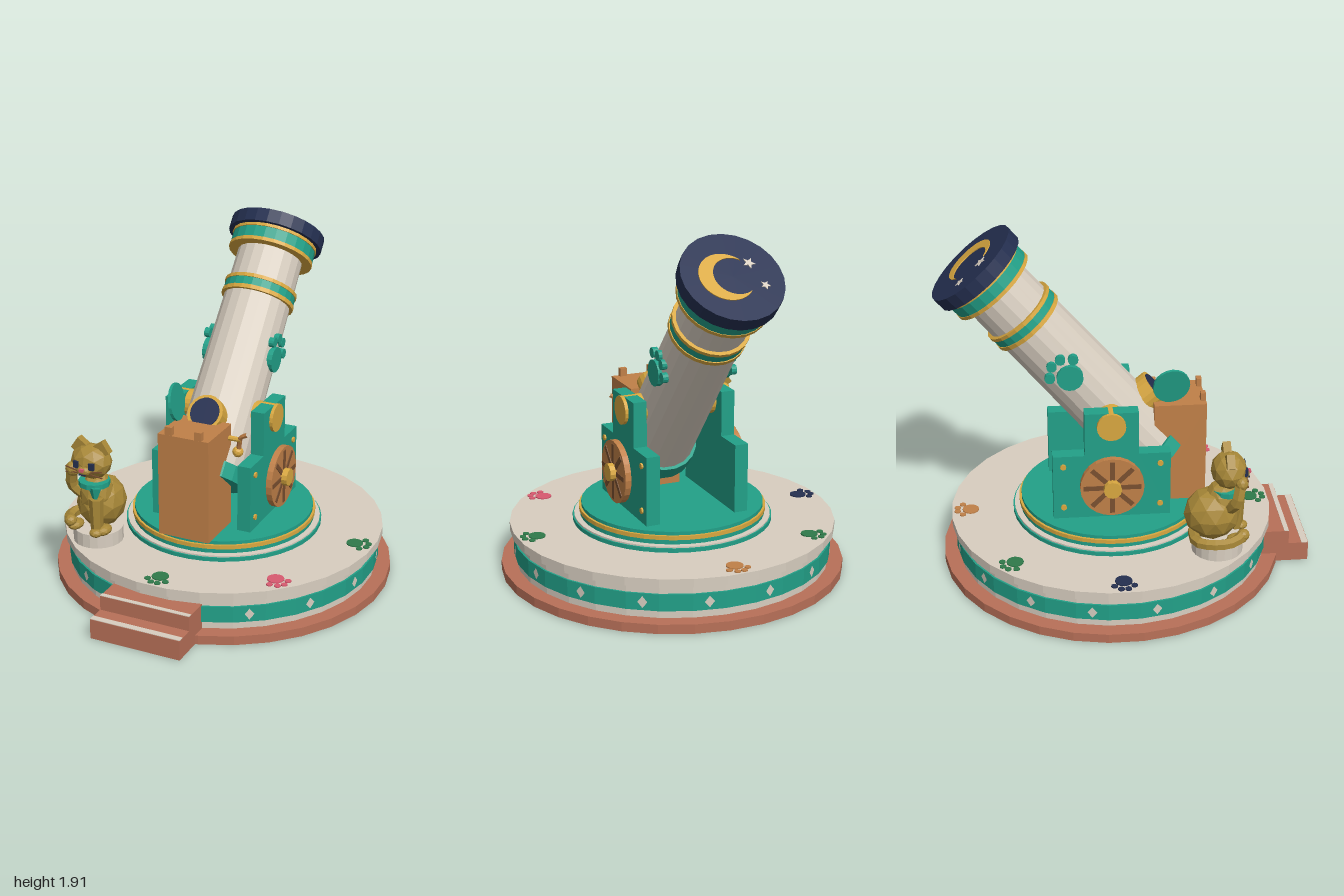
import * as THREE from 'three';

const COLORS = {
  stone: 0xd8cec0, teal: 0x22a088, navy: 0x242f50, gold: 0xd9a840, wood: 0xc08048,
  brick: 0xb87058, catGold: 0xa88838, brown: 0x7a5030, green: 0x2f7a4a, pink: 0xd85a70,
};
const M = {};
for (const [name, color] of Object.entries(COLORS)) {
  M[name] = new THREE.MeshStandardMaterial({ color });
  M[name].name = name;
}

const CZ = -0.07; // centre of the round base
const V = (x, y, z) => new THREE.Vector3(x, y, z);

// Adds a flat-shaded mesh to a parent
function add(parent, name, geo, mat, pos = [0, 0, 0], rot = [0, 0, 0]) {
  const g = geo.index ? geo.toNonIndexed() : geo;
  g.computeVertexNormals();
  const mesh = new THREE.Mesh(g, M[mat]);
  mesh.name = name;
  mesh.position.set(...pos);
  mesh.rotation.set(...rot);
  parent.add(mesh);
  return mesh;
}
function group(parent, name, pos = [0, 0, 0], rot = [0, 0, 0]) {
  const g = new THREE.Group();
  g.name = name;
  g.position.set(...pos);
  g.rotation.set(...rot);
  parent.add(g);
  return g;
}
const box = (w, h, d) => new THREE.BoxGeometry(w, h, d);
const cyl = (r, h, n = 20, r2 = r) => new THREE.CylinderGeometry(r2, r, h, n);
const blob = (x, y, z, detail = 1) => new THREE.IcosahedronGeometry(1, detail).scale(x, y, z);
// Upright disc between two heights
function disc(parent, name, r, y0, y1, mat, z = 0, n = 20, x = 0, r2 = r) {
  return add(parent, name, cyl(r, y1 - y0, n, r2), mat, [x, (y0 + y1) / 2, z], [0, Math.PI / n, 0]);
}
// Cylinder lying along x
function xDisc(parent, name, r, x0, x1, mat, y, z, n = 20) {
  return add(parent, name, cyl(r, Math.abs(x1 - x0), n), mat, [(x0 + x1) / 2, y, z], [0, 0, Math.PI / 2]);
}
const tube = (pts, r, n = 12) => new THREE.TubeGeometry(new THREE.CatmullRomCurve3(pts), n, r, 6, false);

// Paw print in the local xz plane, toes toward +z
function paw(parent, name, mat, s, thick, pos, rot) {
  const g = group(parent, name, pos, rot);
  add(g, 'pad', cyl(0.07 * s, thick, 16), mat);
  for (const [x, z] of [[-0.08, 0.068], [-0.029, 0.112], [0.029, 0.112], [0.08, 0.068]])
    add(g, 'toe', cyl(0.027 * s, thick, 12), mat, [x * s, 0, z * s]);
}

function buildBase(root) {
  const g = group(root, 'base', [0, 0, CZ]);
  const ring = [[0.82, 0], [0.93, 0], [0.93, 0.05], [0.82, 0.05]].map(p => new THREE.Vector2(...p));
  add(g, 'brickRing', new THREE.LatheGeometry(ring, 32), 'brick', [0, 0, 0], [0, Math.PI / 32, 0]);
  disc(g, 'foundation', 0.822, 0, 0.05, 'stone', 0, 32);
  disc(g, 'lowerWall', 0.85, 0.05, 0.09, 'stone', 0, 32);
  disc(g, 'tealBand', 0.86, 0.09, 0.18, 'teal', 0, 32);
  disc(g, 'upperWall', 0.85, 0.18, 0.225, 'stone', 0, 32);
  disc(g, 'deck', 0.88, 0.225, 0.27, 'stone', 0, 32);
  for (let i = 0; i < 16; i++) {
    const a = (i + 0.5) * Math.PI / 8;
    add(g, 'bandDiamond', new THREE.CircleGeometry(0.032, 4).scale(0.8, 1, 1), 'stone',
      [Math.sin(a) * 0.859, 0.135, Math.cos(a) * 0.859], [0, a, 0]);
  }
  // Paw prints around the deck
  [[0, 'green'], [1, 'pink'], [2, 'green'], [4, 'wood'], [5, 'green'], [6, 'navy']].forEach(([k, mat]) => {
    const a = k * Math.PI / 4;
    paw(g, 'deckPawPrint', mat, 0.64, 0.006, [Math.sin(a) * 0.775, 0.273, Math.cos(a) * 0.775], [0, a, 0]);
  });
  // Turntable
  disc(g, 'turntableRim', 0.54, 0.27, 0.292, 'teal', 0, 40);
  disc(g, 'turntableStone', 0.532, 0.292, 0.3, 'stone', 0, 40);
  disc(g, 'turntableStep', 0.5, 0.3, 0.325, 'teal', 0, 40);
  disc(g, 'turntableTrim', 0.506, 0.325, 0.347, 'gold', 0, 40);
  disc(g, 'turntableTop', 0.493, 0.347, 0.366, 'teal', 0, 40);
  // Front steps with stone nosings
  add(root, 'lowerStep', box(0.51, 0.11, 0.13), 'brick', [0, 0.055, 0.935]);
  add(root, 'upperStep', box(0.51, 0.19, 0.16), 'brick', [0, 0.095, 0.81]);
  add(root, 'lowerNosing', box(0.51, 0.004, 0.035), 'stone', [0, 0.111, 0.98]);
  add(root, 'upperNosing', box(0.51, 0.004, 0.025), 'stone', [0, 0.191, 0.876]);
}

function buildMount(root) {
  const outline = [[0.225, 0.36], [0.225, 0.74], [0.055, 0.74], [0.055, 0.985],
    [-0.23, 0.985], [-0.23, 0.74], [-0.4, 0.74], [-0.4, 0.36]];
  const shape = new THREE.Shape(outline.map(p => new THREE.Vector2(...p)));
  for (const s of [1, -1]) {
    const g = group(root, s > 0 ? 'leftMount' : 'rightMount');
    const cheek = new THREE.ExtrudeGeometry(shape, { depth: 0.075, bevelEnabled: false });
    add(g, 'cheek', cheek, 'teal', [s > 0 ? 0.29 : -0.215, 0, 0], [0, -Math.PI / 2, 0]);
    xDisc(g, 'trunnionCap', 0.077, s * 0.18, s * 0.308, 'gold', 0.91, -0.09);
    for (const z of [0.17, -0.345]) for (const y of [0.435, 0.68])
      xDisc(g, 'bolt', 0.016, s * 0.28, s * 0.3, 'gold', y, z, 10);
    // Wheel with spokes and hub
    xDisc(g, 'wheel', 0.17, s * 0.315, s * 0.348, 'wood', 0.575, -0.09, 24);
    for (let i = 0; i < 4; i++)
      add(g, 'spoke', box(0.041, 0.305, 0.026), 'brown', [s * 0.3315, 0.575, -0.09], [i * Math.PI / 4, 0, 0]);
    xDisc(g, 'hub', 0.048, s * 0.28, s * 0.383, 'gold', 0.575, -0.09, 12);
  }
}

function starShape(r) {
  return new THREE.Shape(Array.from({ length: 10 }, (_, i) => {
    const a = i * Math.PI / 5, q = i % 2 ? r * 0.42 : r;
    return new THREE.Vector2(Math.sin(a) * q, Math.cos(a) * q);
  }));
}

function buildBarrel(root) {
  const g = group(root, 'telescopeBarrel', [0, 0.91, -0.09], [-40 * Math.PI / 180, 0, 0]);
  disc(g, 'tube', 0.2, -0.38, 0.95, 'stone', 0, 20, 0, 0.182);
  disc(g, 'breech', 0.217, -0.41, -0.325, 'teal');
  // Bands: [radius, from, to, colour]
  for (const [r, a, b, mat] of [
    [0.204, 0.632, 0.655, 'gold'], [0.199, 0.655, 0.7, 'teal'], [0.204, 0.7, 0.72, 'gold'],
    [0.238, 0.905, 0.925, 'gold'], [0.235, 0.925, 0.988, 'teal'], [0.24, 0.988, 1.005, 'gold'],
    [0.265, 1.005, 1.08, 'navy']]) disc(g, 'barrelBand', r, a, b, mat, 0, 24);
  // Crescent and stars on the cap
  const moon = new THREE.Shape();
  const a0 = Math.atan2(0.0917, -0.1058), b0 = Math.atan2(0.0917, -0.06);
  moon.absarc(0.035, 0, 0.14, a0, -a0, true);
  moon.absarc(-0.01, 0, 0.11, -b0, b0, false);
  const plate = { depth: 0.006, bevelEnabled: false, curveSegments: 20 };
  const flat = [-Math.PI / 2, 0, 0];
  add(g, 'crescent', new THREE.ExtrudeGeometry(moon, plate), 'gold', [0, 1.079, 0], flat);
  add(g, 'star', new THREE.ExtrudeGeometry(starShape(0.027), plate), 'stone', [-0.148, 1.079, -0.07], flat);
  add(g, 'star', new THREE.ExtrudeGeometry(starShape(0.034), plate), 'stone', [-0.11, 1.079, 0.07], flat);
  // Side paw emblems
  for (const s of [1, -1])
    paw(g, 'barrelPaw', 'teal', 1, 0.03, [s * 0.192, 0.32, 0], [-Math.PI / 2, 0, s * -Math.PI / 2]);
  // Eyepiece standing on the upper face of the tube
  add(g, 'eyepiece', cyl(0.1, 0.11, 20), 'gold', [0, -0.11, 0.192], [Math.PI / 2, 0, 0]);
  add(g, 'eyepieceLens', cyl(0.082, 0.006, 20), 'navy', [0, -0.11, 0.249], [Math.PI / 2, 0, 0]);
}

function buildCabinet(root) {
  const g = group(root, 'cabinet');
  add(g, 'woodenBox', box(0.29, 0.575, 0.28), 'wood', [0, 0.6525, 0.293]);
  for (const s of [1, -1]) add(g, 'peg', box(0.04, 0.05, 0.028), 'wood', [s * 0.085, 0.96, 0.418]);
  add(g, 'eyepieceLid', cyl(0.1, 0.016, 20), 'teal', [-0.13, 1.05, 0.243], [0, 0.12, Math.PI / 2 + 0.17]);
  // Crank handle
  add(g, 'crankRod', tube([V(0.255, 0.91, 0.19), V(0.215, 0.885, 0.185), V(0.2, 0.84, 0.17), V(0.19, 0.79, 0.16)], 0.013), 'wood');
  add(g, 'crankKnob', blob(0.03, 0.03, 0.03), 'gold', [0.187, 0.79, 0.16]);
  xDisc(g, 'crankSpindle', 0.014, 0.12, 0.215, 'gold', 0.87, 0.18, 8);
}

function buildCat(root) {
  disc(root, 'catPedestal', 0.135, 0.27, 0.347, 'stone', 0.45, 20, -0.505);
  const g = group(root, 'catStatue', [-0.505, 0.345, 0.45]);
  add(g, 'body', blob(0.13, 0.145, 0.15), 'catGold', [0.01, 0.14, -0.03]);
  add(g, 'chest', blob(0.095, 0.13, 0.1), 'catGold', [0.01, 0.2, 0.02]);
  add(g, 'head', blob(0.115, 0.098, 0.095), 'catGold', [0, 0.4, 0.05]);
  add(g, 'collar', cyl(0.085, 0.028, 12), 'teal', [0.01, 0.278, 0.045]);
  add(g, 'scarfTip', new THREE.ConeGeometry(0.04, 0.1, 4).scale(1, 1, 0.5), 'teal', [0.05, 0.228, 0.115], [Math.PI, 0, 0]);
  // Face
  add(g, 'muzzle', blob(0.04, 0.028, 0.025), 'catGold', [0, 0.375, 0.135]);
  add(g, 'nose', box(0.025, 0.016, 0.02), 'pink', [0, 0.386, 0.155]);
  add(g, 'mouth', box(0.04, 0.008, 0.01), 'navy', [0, 0.36, 0.153]);
  for (const s of [1, -1]) {
    add(g, 'ear', box(0.075, 0.075, 0.042), 'catGold', [s * 0.062, 0.474, 0.045], [0, 0, s * 0.6]);
    add(g, 'eye', box(0.03, 0.038, 0.02), 'navy', [s * 0.045, 0.405, 0.132]);
    for (const k of [0, 1])
      add(g, 'whisker', box(0.07, 0.006, 0.006), 'brown', [s * 0.075, 0.378 - k * 0.022, 0.135], [0, 0, s * (0.2 - k * 0.3)]);
    add(g, 'hindFoot', blob(0.04, 0.028, 0.055), 'catGold', [s * 0.085, 0.03, 0.09]);
  }
  // Standing foreleg, raised arm and curled tail
  add(g, 'foreleg', cyl(0.032, 0.2, 6, 0.04), 'catGold', [0.055, 0.115, 0.11]);
  add(g, 'forePaw', blob(0.036, 0.025, 0.04), 'catGold', [0.06, 0.025, 0.13]);
  add(g, 'raisedArm', tube([V(-0.06, 0.2, 0.05), V(-0.105, 0.26, 0.08), V(-0.09, 0.35, 0.1)], 0.032, 5), 'catGold');
  add(g, 'raisedPaw', blob(0.04, 0.042, 0.036), 'catGold', [-0.085, 0.36, 0.105]);
  add(g, 'tail', tube([V(0, 0.04, -0.13), V(-0.11, 0.035, -0.12), V(-0.155, 0.04, -0.02), V(-0.14, 0.045, 0.07), V(-0.1, 0.06, 0.12)], 0.03, 9), 'catGold');
  add(g, 'tailTip', blob(0.034, 0.034, 0.034), 'catGold', [-0.1, 0.06, 0.12]);
}

export function createModel() {
  const root = new THREE.Group();
  root.name = 'telescopeCannon';
  buildBase(root);
  buildMount(root);
  buildBarrel(root);
  buildCabinet(root);
  buildCat(root);
  return root;
}
